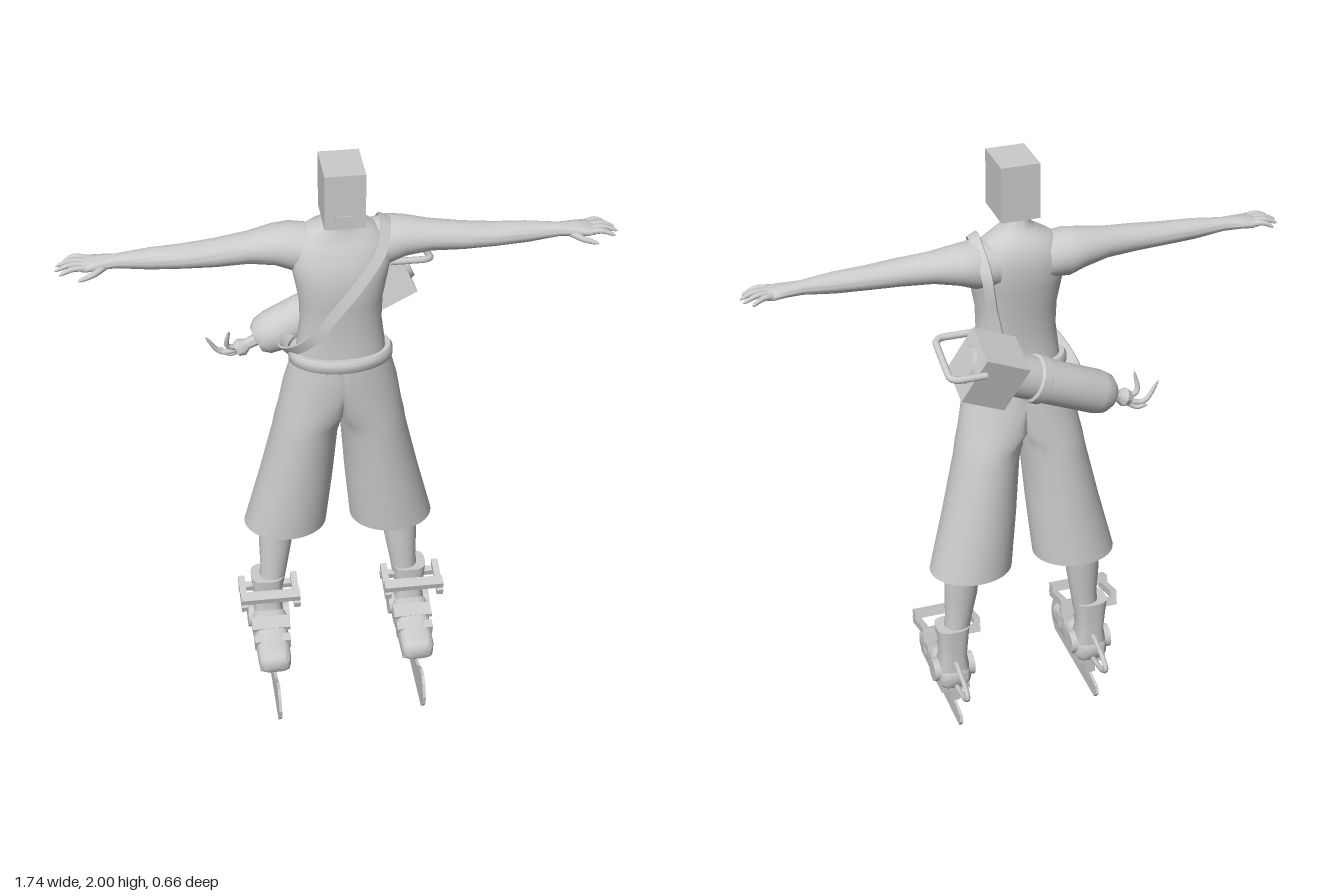
import * as THREE from 'three';
import { toCreasedNormals } from 'three/addons/utils/BufferGeometryUtils.js';

const V = (x, y, z) => new THREE.Vector3(x, y, z);
const grey = new THREE.MeshStandardMaterial({ color: 0xcccccc });
const greyOpen = new THREE.MeshStandardMaterial({ color: 0xcccccc, side: THREE.DoubleSide });

function part(parent, name, geometry, material = grey) {
  const mesh = new THREE.Mesh(geometry, material);
  mesh.name = name;
  parent.add(mesh);
  return mesh;
}

function box(parent, name, size, pos, rx = 0) {
  const mesh = part(parent, name, new THREE.BoxGeometry(...size));
  mesh.position.set(...pos);
  mesh.rotation.x = rx;
  return mesh;
}

// Skin over equal rings of points, with optional end caps
function skin(rings, { caps = true, closed = false, crease = 0.9 } = {}) {
  const n = rings[0].length, m = rings.length, pos = [], idx = [];
  rings.forEach(r => r.forEach(p => pos.push(p.x, p.y, p.z)));
  for (let i = 0; i < (closed ? m : m - 1); i++) for (let j = 0; j < n; j++) {
    const k = (j + 1) % n, up = ((i + 1) % m) * n;
    idx.push(i * n + j, i * n + k, up + k, i * n + j, up + k, up + j);
  }
  if (caps && !closed) [0, m - 1].forEach(i => {
    const c = rings[i].reduce((s, p) => s.add(p), V(0, 0, 0)).divideScalar(n);
    const ci = pos.length / 3;
    pos.push(c.x, c.y, c.z);
    for (let j = 0; j < n; j++) {
      const a = i * n + j, b = i * n + (j + 1) % n;
      i ? idx.push(a, b, ci) : idx.push(b, a, ci);
    }
  });
  const g = new THREE.BufferGeometry();
  g.setAttribute('position', new THREE.Float32BufferAttribute(pos, 3));
  g.setIndex(idx);
  return toCreasedNormals(g, crease);
}

// Superellipse ring across an axis; power 2 is an ellipse, higher is boxier
function ring(axis, c, a, b, power = 2, n = 32) {
  const f = t => Math.sign(t) * Math.abs(t) ** (2 / power);
  return Array.from({ length: n }, (_, j) => {
    const t = j / n * Math.PI * 2, u = a * f(Math.cos(t)), v = b * f(Math.sin(t));
    if (axis === 'x') return V(c[0], c[1] + u, c[2] + v);
    if (axis === 'y') return V(c[0] + u, c[1], c[2] - v);
    return V(c[0] + u, c[1] + v, c[2]);
  });
}

const curve = (pts, closed = false) => new THREE.CatmullRomCurve3(pts.map(p => V(...p)), closed);

// Tube narrowing to a rounded tip
function taperTube(pts, radius) {
  const path = curve(pts), seg = 16, sides = 10;
  const g = new THREE.TubeGeometry(path, seg, radius, sides);
  const p = g.attributes.position, v = V(0, 0, 0);
  for (let i = 0; i < p.count; i++) {
    const t = Math.floor(i / (sides + 1)) / seg;
    const c = path.getPointAt(t), k = (1 - 0.45 * t) * Math.sqrt(1 - t ** 8);
    v.fromBufferAttribute(p, i).sub(c).multiplyScalar(k).add(c);
    p.setXYZ(i, v.x, v.y, v.z);
  }
  return g;
}

function buildArm(side) {
  const rows = [ // x, y, z, half height, half depth
    [0.08, 1.685, -0.025, 0.07, 0.075], [0.15, 1.69, -0.028, 0.075, 0.08], [0.2, 1.697, -0.03, 0.062, 0.072],
    [0.28, 1.697, -0.022, 0.048, 0.056], [0.38, 1.693, -0.012, 0.042, 0.05], [0.48, 1.69, -0.01, 0.036, 0.044],
    [0.58, 1.69, -0.01, 0.032, 0.037], [0.68, 1.69, -0.01, 0.021, 0.026], [0.73, 1.69, -0.01, 0.019, 0.035],
    [0.77, 1.688, -0.01, 0.018, 0.042], [0.79, 1.685, -0.01, 0.012, 0.037]];
  part(side, 'arm', skin(rows.map(([x, y, z, a, b]) => ring('x', [x, y, z], a, b))));
  [-0.042, -0.021, 0, 0.021].forEach((z, i) => {
    const len = [0.06, 0.083, 0.088, 0.075][i];
    part(side, 'finger', taperTube([[0.77, 1.69, z * 0.9], [0.775 + len * 0.5, 1.692, z * 1.15],
      [0.78 + len, 1.674, z * 1.3]], 0.011));
  });
  part(side, 'thumb', taperTube([[0.715, 1.685, 0.008], [0.75, 1.675, 0.035], [0.8, 1.66, 0.045]], 0.012));
}

function buildLeg(side) {
  // Wide trouser leg; both halves meet flat at the middle above the crotch
  const rows = [ // y, centre x, half width, centre z, half depth
    [0.6, 0.178, 0.137, -0.057, 0.117], [0.8, 0.143, 0.122, -0.042, 0.115], [1.0, 0.112, 0.107, -0.027, 0.112],
    [1.05, 0.1, 0.111, -0.022, 0.111], [1.1, 0.07, 0.13, -0.016, 0.11], [1.2, 0.02, 0.163, -0.005, 0.108],
    [1.27, 0.003, 0.162, 0.002, 0.106], [1.32, 0, 0.155, 0.005, 0.1]];
  const rings = rows.map(([y, x, a, z, b]) => ring('y', [x, y, z], a, b, 2, 48));
  rings.forEach(r => r.forEach(p => { p.x = Math.max(p.x, 0); }));
  part(side, 'trouserLeg', skin(rings, { caps: false }), greyOpen);
  const shin = [[0.28, 0.24, -0.05, 0.043, 0.042], [0.4, 0.222, -0.05, 0.045, 0.042],
    [0.5, 0.214, -0.058, 0.055, 0.048], [0.62, 0.208, -0.063, 0.061, 0.05], [0.85, 0.18, -0.05, 0.065, 0.06]];
  part(side, 'shin', skin(shin.map(([y, x, z, a, b]) => ring('y', [x, y, z], a, b))));
}

function buildSkate(side) {
  const skate = new THREE.Group();
  skate.name = 'skate';
  skate.position.x = 0.245;
  side.add(skate);
  // Blade and its mounts
  const outline = [[-0.13, 0], [0.285, 0], [0.315, 0.035], [0.322, 0.07], [0.305, 0.115], [0.28, 0.135],
    [0.24, 0.13], [0.19, 0.1], [0.13, 0.088], [0.06, 0.1], [0.02, 0.07], [-0.06, 0.065], [-0.14, 0.05], [-0.15, 0.025]];
  const blade = new THREE.ExtrudeGeometry(new THREE.Shape(outline.map(p => new THREE.Vector2(...p))),
    { depth: 0.01, bevelEnabled: false });
  part(skate, 'blade', blade.translate(0, 0, -0.005).rotateY(-Math.PI / 2));
  box(skate, 'heelMount', [0.035, 0.07, 0.09], [0, 0.1, -0.03]);
  box(skate, 'toeMount', [0.035, 0.05, 0.08], [0, 0.11, 0.1]);
  // Boot
  const foot = [[-0.1, 0.17, 0.04, 0.03], [-0.08, 0.173, 0.055, 0.05], [0, 0.18, 0.062, 0.062], [0.06, 0.175, 0.058, 0.052],
    [0.11, 0.165, 0.056, 0.043], [0.165, 0.162, 0.055, 0.042], [0.185, 0.161, 0.05, 0.035], [0.195, 0.16, 0.038, 0.024]];
  part(skate, 'foot', skin(foot.map(([z, y, a, b]) => ring('z', [0, y, z], a, b, 3.2))));
  const shaft = [[0.14, -0.045, 0.052, 0.05], [0.2, -0.045, 0.056, 0.054], [0.25, -0.05, 0.046, 0.046],
    [0.31, -0.05, 0.051, 0.049], [0.37, -0.05, 0.056, 0.053]];
  part(skate, 'shaft', skin(shaft.map(([y, z, a, b]) => ring('y', [0, y, z], a, b, 3))));
  box(skate, 'sole', [0.1, 0.02, 0.25], [0, 0.125, 0.04]);
  box(skate, 'instepStrap', [0.13, 0.018, 0.05], [0, 0.222, 0.045], 0.3);
  box(skate, 'toeStrap', [0.122, 0.05, 0.03], [0, 0.185, 0.095], 0.3);
  const ankle = part(skate, 'ankleDisc', new THREE.CylinderGeometry(0.04, 0.04, 0.142, 24).rotateZ(Math.PI / 2));
  ankle.position.set(0, 0.19, -0.045);
  // Shin guard frame and heel loop
  box(skate, 'guardBar', [0.2, 0.024, 0.035], [0, 0.357, 0.06], 0.28);
  for (const s of [-1, 1]) box(skate, 'guardArm', [0.022, 0.024, 0.13], [s * 0.089, 0.342, 0.015], 0.28);
  box(skate, 'guardRear', [0.2, 0.024, 0.022], [0, 0.326, -0.04], 0.28);
  part(skate, 'heelLoop', new THREE.TubeGeometry(curve([[0, 0.245, -0.03], [0, 0.235, -0.1], [0, 0.207, -0.2],
    [0, 0.185, -0.222], [0, 0.163, -0.2], [0, 0.142, -0.1], [0, 0.14, -0.03]]), 40, 0.009, 8));
}

function buildCanister(model) {
  const bag = new THREE.Group();
  bag.name = 'canister';
  bag.position.set(-0.25, 1.245, -0.185);
  bag.quaternion.setFromUnitVectors(V(1, 0, 0), V(0.485, 0.222, -0.05).normalize());
  bag.rotateX(-0.25);
  model.add(bag);
  const profile = [[0, -0.075], [0.024, -0.07], [0.03, -0.05], [0.018, -0.03], [0.02, 0], [0.045, 0.003], [0.063, 0.025],
    [0.07, 0.06], [0.07, 0.265], [0.077, 0.27], [0.077, 0.3], [0.068, 0.305], [0.068, 0.39]];
  const tank = new THREE.LatheGeometry(profile.map(p => new THREE.Vector2(...p)), 32).rotateZ(-Math.PI / 2);
  part(bag, 'tank', toCreasedNormals(tank, 0.7));
  box(bag, 'engineBox', [0.155, 0.168, 0.155], [0.458, 0, 0]);
  const disc = part(bag, 'endDisc', new THREE.CylinderGeometry(0.055, 0.06, 0.02, 28).rotateZ(-Math.PI / 2));
  disc.position.x = 0.54;
  // Carry handle and hooked claws
  const h = [[0.18, 1.525, -0.15], [0.29, 1.525, -0.15], [0.312, 1.52, -0.17], [0.312, 1.475, -0.305],
    [0.29, 1.47, -0.322], [0.2, 1.47, -0.322]];
  const rail = new THREE.CatmullRomCurve3(h.map(p => V(...p)), false, 'catmullrom', 0.15);
  part(model, 'handle', new THREE.TubeGeometry(rail, 50, 0.011, 10));
  [[[-0.29, 1.22, -0.185], [-0.36, 1.203, -0.19], [-0.412, 1.268, -0.185]],
    [[-0.29, 1.22, -0.185], [-0.342, 1.235, -0.175], [-0.337, 1.3, -0.16]],
    [[-0.29, 1.22, -0.185], [-0.335, 1.19, -0.195], [-0.365, 1.205, -0.215]]]
    .forEach(p => part(model, 'claw', taperTube(p, 0.011)));
}

function buildStrap(model) {
  const path = curve([[0.14, 1.772, -0.01], [0.115, 1.72, 0.085], [0.06, 1.64, 0.112], [-0.02, 1.53, 0.114], [-0.1, 1.41, 0.09],
    [-0.155, 1.34, 0.03], [-0.175, 1.29, -0.07], [-0.14, 1.3, -0.14], [0, 1.36, -0.14], [0.08, 1.42, -0.14],
    [0.115, 1.55, -0.13], [0.135, 1.7, -0.115]], true);
  const rings = Array.from({ length: 90 }, (_, i) => {
    const p = path.getPointAt(i / 90), t = path.getTangentAt(i / 90);
    const across = t.clone().cross(p.clone().sub(V(0, 1.5, 0))).normalize();
    const out = across.clone().cross(t).normalize();
    return [[1, 1], [-1, 1], [-1, -1], [1, -1]].map(([a, b]) =>
      p.clone().addScaledVector(across, a * 0.017).addScaledVector(out, b * 0.004));
  });
  part(model, 'strap', skin(rings, { closed: true }), greyOpen);
}

export function createModel() {
  const model = new THREE.Group();
  model.name = 'figure';
  // Box head with a simple face
  box(model, 'head', [0.124, 0.18, 0.156], [0, 1.91, 0.036]);
  box(model, 'mouth', [0.06, 0.014, 0.006], [0, 1.857, 0.114]);
  for (const s of [-1, 1]) box(model, 'eye', [0.012, 0.018, 0.006], [s * 0.032, 1.915, 0.114]);
  // Torso and neck
  const torso = [[1.28, 0.145, 0.005, 0.088], [1.36, 0.138, 0.01, 0.082], [1.44, 0.128, 0.01, 0.081], [1.52, 0.13, 0.01, 0.092],
    [1.6, 0.145, 0.008, 0.101], [1.67, 0.16, -0.002, 0.1], [1.73, 0.145, -0.012, 0.083], [1.765, 0.1, -0.012, 0.063],
    [1.785, 0.058, -0.002, 0.052], [1.805, 0.038, 0.003, 0.045], [1.84, 0.034, 0.008, 0.042]];
  part(model, 'torso', skin(torso.map(([y, a, z, b]) => ring('y', [0, y, z], a, b, 2.3, 40))));
  const belt = [[1.288, 0.158, 0.1], [1.295, 0.165, 0.109], [1.322, 0.165, 0.11], [1.333, 0.158, 0.102]];
  part(model, 'waistband', skin(belt.map(([y, a, b]) => ring('y', [0, y, 0.006], a, b, 2, 48))));
  // Mirrored limbs
  for (const s of [1, -1]) {
    const side = new THREE.Group();
    side.name = s > 0 ? 'leftSide' : 'rightSide';
    side.scale.x = s;
    model.add(side);
    buildArm(side);
    buildLeg(side);
    buildSkate(side);
  }
  buildCanister(model);
  buildStrap(model);
  return model;
}
